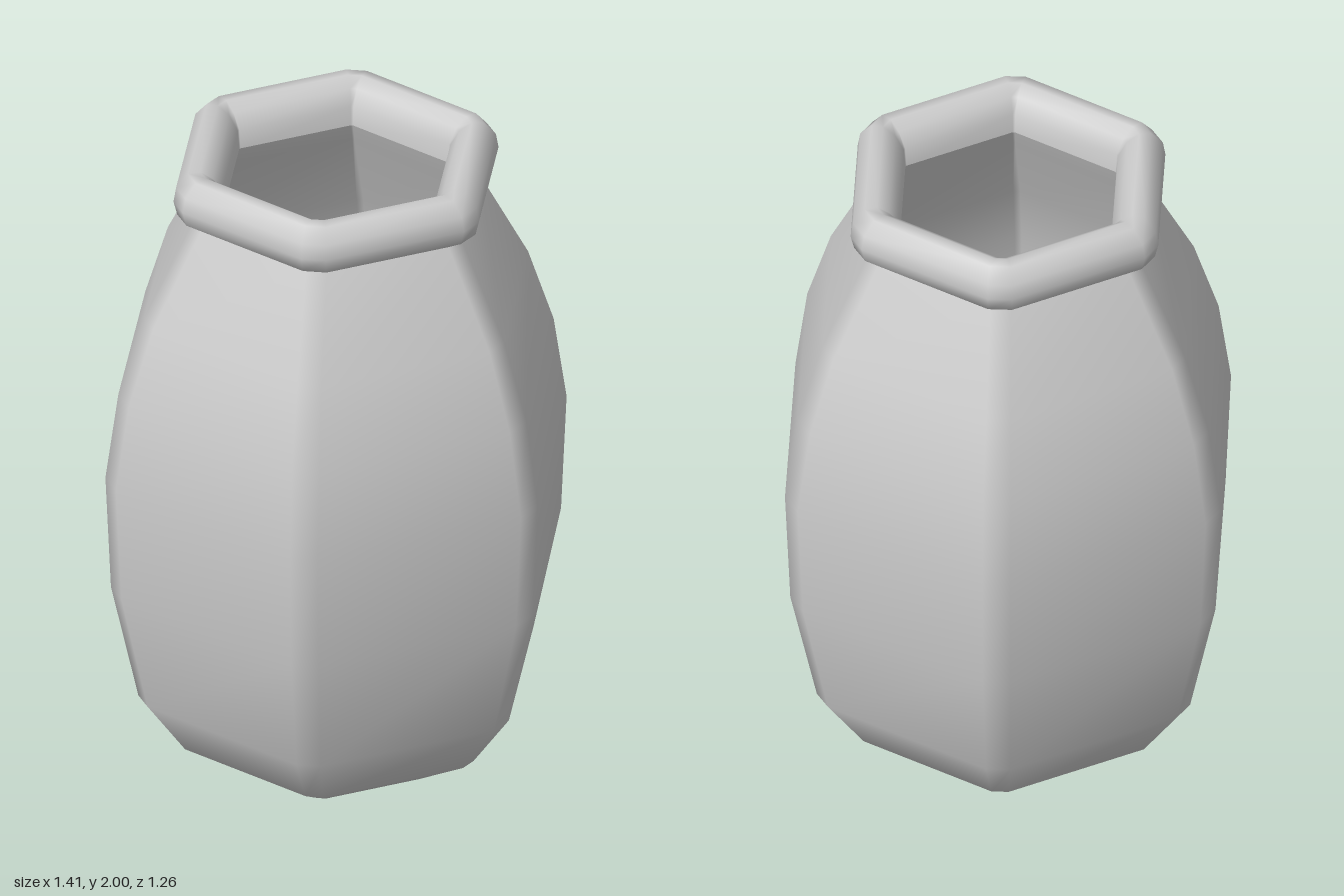
import * as THREE from 'three';

const material = new THREE.MeshStandardMaterial({ color: 0xcccccc });

// Ring of a hexagon with cut corners: apothem a, half width of the corner cut b
function hexRing(a, b, y) {
  const R = a * 2 / Math.sqrt(3);
  const cut = Math.min(b, R * 0.2);
  const r = R - cut / Math.sqrt(3);
  const ring = [];
  for (let k = 0; k < 6; k++) {
    const t = k * Math.PI / 3, c = Math.cos(t), s = Math.sin(t);
    for (const side of [-cut, cut]) {
      ring.push(r * c - side * s, y, -(r * s + side * c));
    }
  }
  return ring;
}

// Smooth skin through the hexagonal rings of a profile [apothem, y, corner cut]
function hexLoft(name, profile) {
  const n = 12, positions = [], index = [];
  profile.forEach(([a, y, b]) => positions.push(...hexRing(a, b, y)));
  for (let i = 0; i < profile.length - 1; i++) {
    for (let k = 0; k < n; k++) {
      const k2 = (k + 1) % n;
      const p = i * n + k, q = i * n + k2;
      index.push(p, q, q + n, p, q + n, p + n);
    }
  }
  const geometry = new THREE.BufferGeometry();
  geometry.setAttribute('position', new THREE.Float32BufferAttribute(positions, 3));
  geometry.setIndex(index);
  geometry.computeVertexNormals();
  const mesh = new THREE.Mesh(geometry, material);
  mesh.name = name;
  return mesh;
}

export function createModel() {
  const jar = new THREE.Group();
  jar.name = 'jar';

  // Outer wall, from the middle of the base up to the neck
  jar.add(hexLoft('body', [
    [0.001, 0, 0], [0.275, 0, 0.012], [0.43, 0.105, 0.025], [0.54, 0.28, 0.035],
    [0.615, 0.66, 0.04], [0.63, 1.03, 0.04], [0.595, 1.3, 0.04],
    [0.525, 1.54, 0.035], [0.39, 1.835, 0.03],
  ]));

  // Rounded lip around the mouth
  jar.add(hexLoft('rim', [
    [0.39, 1.835, 0.03], [0.435, 1.865, 0.035], [0.445, 1.91, 0.035], [0.438, 1.955, 0.035],
    [0.405, 1.997, 0.03], [0.37, 2.0, 0.02], [0.335, 1.975, 0.01],
    [0.31, 1.93, 0.004], [0.305, 1.87, 0.003],
  ]));

  // Hollow inside, from the mouth down to the floor
  jar.add(hexLoft('interior', [
    [0.305, 1.87, 0.003], [0.33, 1.81, 0.003], [0.46, 1.52, 0.01], [0.535, 1.29, 0.01],
    [0.57, 1.03, 0.01], [0.555, 0.67, 0.01], [0.485, 0.31, 0.01],
    [0.39, 0.16, 0.01], [0.25, 0.07, 0.01], [0.001, 0.06, 0],
  ]));

  return jar;
}
